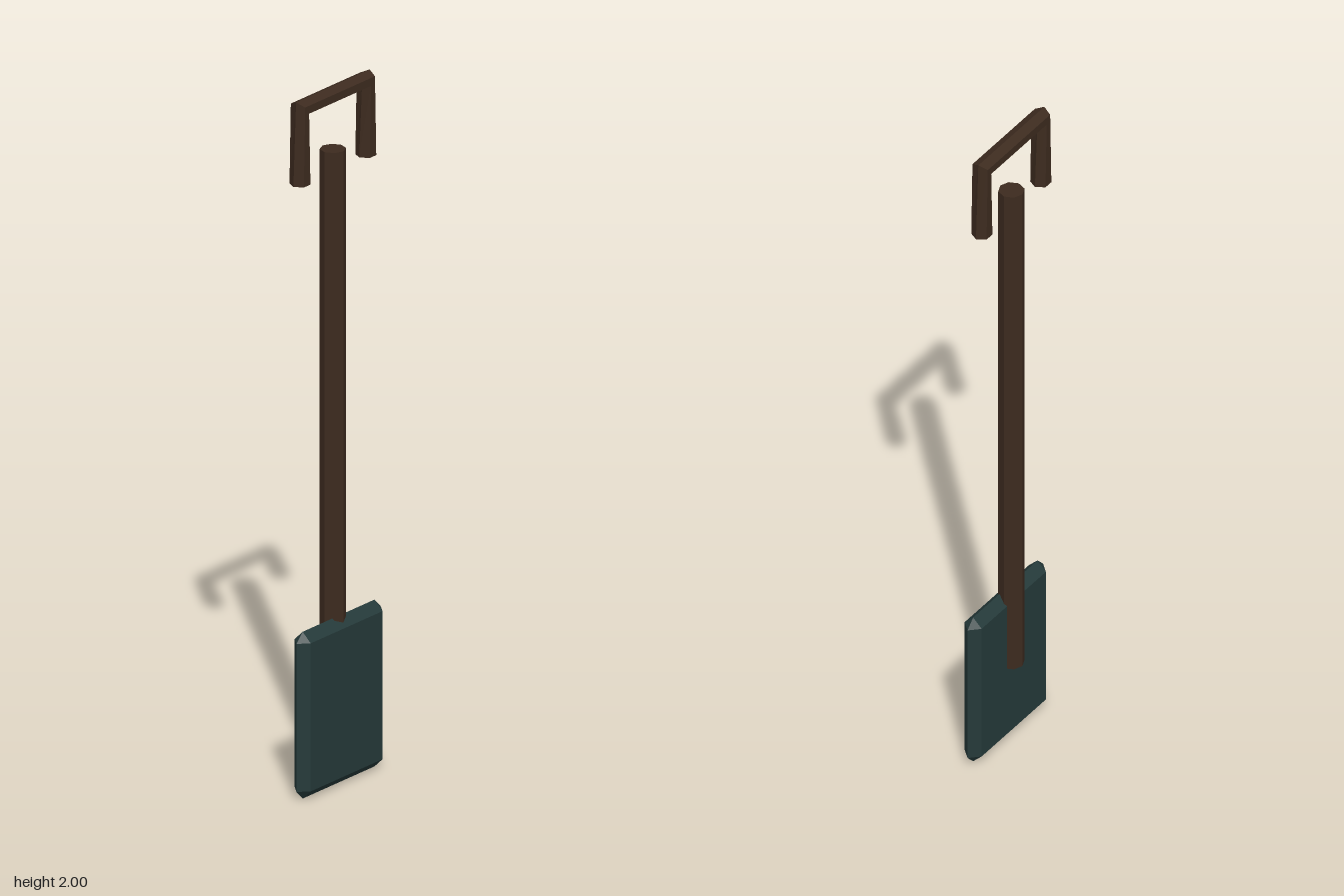
import * as THREE from 'three';
import { ConvexGeometry } from 'three/addons/geometries/ConvexGeometry.js';

const wood = new THREE.MeshStandardMaterial({ color: 0x3d2b1f, flatShading: true });
wood.name = 'dark wood';
const metal = new THREE.MeshStandardMaterial({ color: 0x253a3a, flatShading: true });
metal.name = 'dark teal metal';

function addPart(group, name, geometry, material) {
  const mesh = new THREE.Mesh(geometry, material);
  mesh.name = name;
  group.add(mesh);
  return mesh;
}

// Flat plate with chamfered rims and corners: two faces around a wider middle outline
function bladeGeometry(w, h, t, bevel) {
  const points = [];
  for (const sx of [-1, 1]) {
    for (const sy of [-1, 1]) {
      const x = sx * (w / 2 - bevel), y = sy * (h / 2 - bevel);
      points.push(
        new THREE.Vector3(x, y, t / 2),
        new THREE.Vector3(x, y, -t / 2),
        new THREE.Vector3(sx * w / 2, y, 0),
        new THREE.Vector3(x, sy * h / 2, 0),
      );
    }
  }
  return new ConvexGeometry(points);
}

// Six-sided rod bent through four rings, pinched by the mitred corners
function gripGeometry(r) {
  const sides = 6;
  const rings = [
    { x: 0.143, y: 1.76, ux: 1, uy: 0 },
    { x: 0.143, y: 1.977, ux: 0.6, uy: 0.8 },
    { x: -0.143, y: 1.977, ux: -0.6, uy: 0.8 },
    { x: -0.143, y: 1.76, ux: -1, uy: 0 },
  ];
  const corner = (i, k) => {
    const a = (k / sides) * Math.PI * 2, c = Math.cos(a) * r, g = rings[i];
    return [g.x + g.ux * c, g.y + g.uy * c, Math.sin(a) * r];
  };
  const centre = (i) => [rings[i].x, rings[i].y, 0];
  const pos = [];
  const last = rings.length - 1;
  for (let k = 0; k < sides; k++) {
    for (let i = 0; i < last; i++) {
      const a = corner(i, k), b = corner(i, k + 1);
      const c = corner(i + 1, k), d = corner(i + 1, k + 1);
      pos.push(...a, ...c, ...b, ...b, ...c, ...d);
    }
    // End caps
    pos.push(...centre(0), ...corner(0, k), ...corner(0, k + 1));
    pos.push(...centre(last), ...corner(last, k + 1), ...corner(last, k));
  }
  const geometry = new THREE.BufferGeometry();
  geometry.setAttribute('position', new THREE.Float32BufferAttribute(pos, 3));
  geometry.computeVertexNormals();
  return geometry;
}

export function createModel() {
  const group = new THREE.Group();
  group.name = 'shovel';

  // Blade
  addPart(group, 'blade', bladeGeometry(0.366, 0.48, 0.055, 0.027), metal)
    .position.set(0, 0.24, 0.0125);

  // Shaft, running down behind the blade
  addPart(group, 'shaft', new THREE.CylinderGeometry(0.036, 0.036, 1.575, 8), wood)
    .position.set(0, 1.0325, -0.007);

  // Grip, floating above the shaft
  addPart(group, 'grip', gripGeometry(0.0285), wood).position.z = -0.007;

  return group;
}
